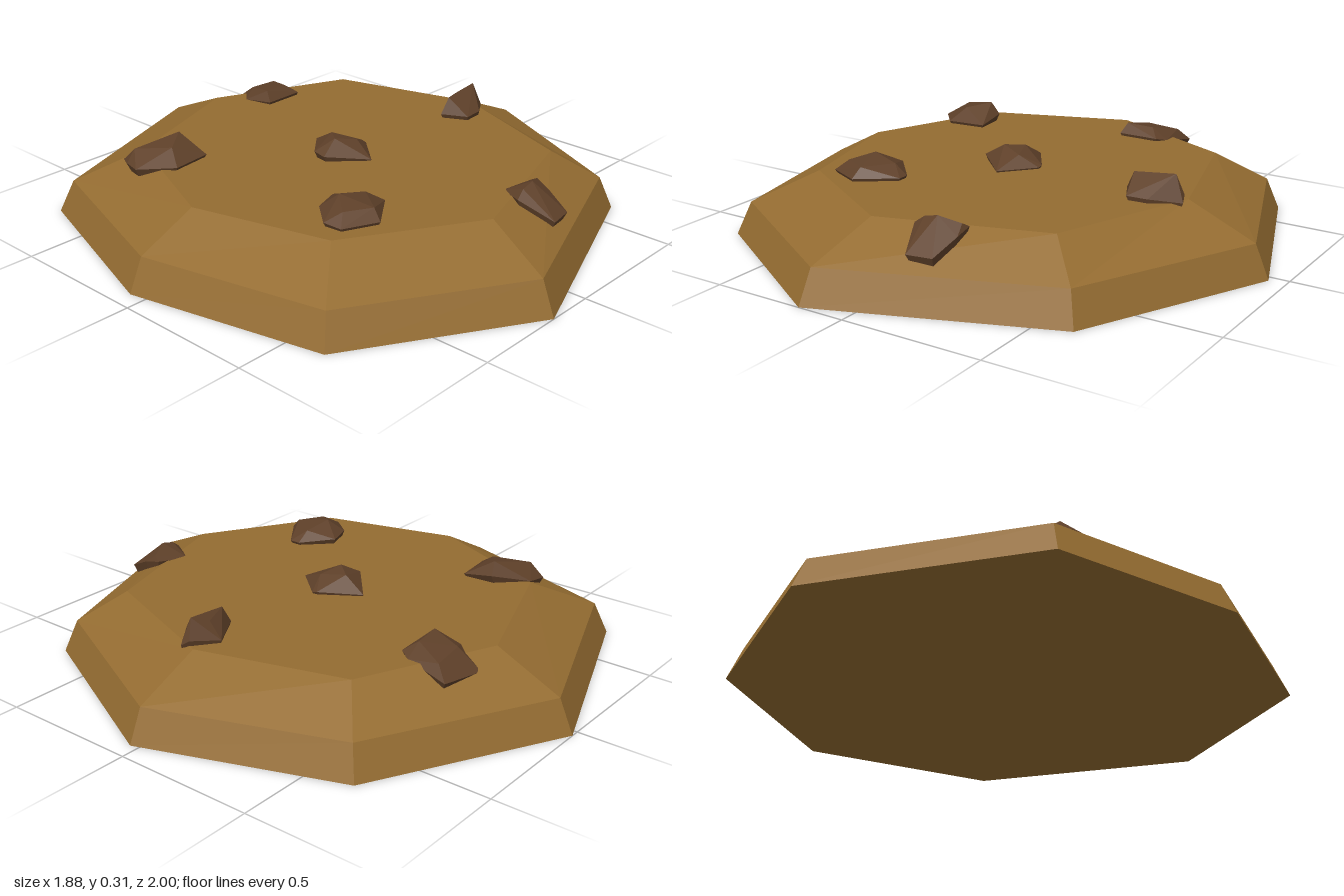
import * as THREE from 'three';
import { ConvexGeometry } from 'three/addons/geometries/ConvexGeometry.js';

// Eight-sided body built from horizontal loops of [x, z] corners, capped at both ends
function loftLoops(loops) {
  const pos = [];
  const n = loops[0].length;
  const tri = (...points) => points.forEach((p) => pos.push(...p));
  const last = loops.length - 1;
  const bottomCentre = [0, loops[0][0][1], 0];
  const topCentre = [0, loops[last][0][1], 0];
  for (let i = 0; i < n; i++) {
    const j = (i + 1) % n;
    for (let k = 0; k < last; k++) {
      const a = loops[k][i], b = loops[k][j], c = loops[k + 1][j], d = loops[k + 1][i];
      tri(b, a, d);
      tri(b, d, c);
    }
    tri(bottomCentre, loops[0][i], loops[0][j]);
    tri(topCentre, loops[last][j], loops[last][i]);
  }
  const geometry = new THREE.BufferGeometry();
  geometry.setAttribute('position', new THREE.Float32BufferAttribute(pos, 3));
  geometry.computeVertexNormals();
  return geometry;
}

// Faceted chip: widest outline [x, y, z], its crown points, and a narrower buried foot
function chipGeometry(outline, crown) {
  const centre = outline
    .reduce((sum, p) => sum.add(new THREE.Vector3(...p)), new THREE.Vector3())
    .divideScalar(outline.length);
  const points = [...outline, ...crown].map((p) => new THREE.Vector3(...p));
  for (const p of outline) {
    const foot = new THREE.Vector3(...p).lerp(centre, 0.25);
    foot.y -= 0.06;
    points.push(foot);
  }
  return new ConvexGeometry(points);
}

export function createModel() {
  const group = new THREE.Group();
  const dough = new THREE.MeshStandardMaterial({ color: 0x946c31, flatShading: true });
  dough.name = 'baked dough';
  const chocolate = new THREE.MeshStandardMaterial({ color: 0x5e4029, flatShading: true });
  chocolate.name = 'dark chocolate';

  // Cookie body: flared foot, bevelled shoulder and flat top
  const base = [
    [0.03, -1], [0.69, -0.65], [0.94, 0.03], [0.62, 0.7],
    [-0.17, 1], [-0.785, 0.63], [-0.94, -0.06], [-0.725, -0.715],
  ];
  const top = [
    [0.02, -0.705], [0.5, -0.49], [0.65, 0.03], [0.46, 0.535],
    [-0.11, 0.715], [-0.56, 0.445], [-0.69, -0.04], [-0.49, -0.52],
  ];
  const level = (loop, y, s = 1) => loop.map(([x, z]) => [x * s, y, z * s]);
  const cookie = new THREE.Mesh(
    loftLoops([level(base, 0), level(base, 0.115, 0.947), level(top, 0.22)]), dough);
  cookie.name = 'cookie';
  group.add(cookie);

  // Chocolate chips
  const chips = {
    backChip: {
      outline: [[0.14, 0.18, -0.725], [0.3, 0.19, -0.695], [0.28, 0.22, -0.54],
        [0.255, 0.23, -0.5], [0.105, 0.23, -0.5], [0.085, 0.22, -0.61]],
      crown: [[0.12, 0.265, -0.53], [0.22, 0.26, -0.54], [0.27, 0.235, -0.65], [0.15, 0.245, -0.64]],
    },
    leftBackChip: {
      outline: [[-0.58, 0.21, -0.52], [-0.5, 0.22, -0.515], [-0.39, 0.25, -0.42],
        [-0.39, 0.23, -0.305], [-0.535, 0.23, -0.29], [-0.625, 0.22, -0.4], [-0.61, 0.22, -0.465]],
      crown: [[-0.42, 0.295, -0.41], [-0.5, 0.275, -0.355], [-0.57, 0.26, -0.47]],
    },
    centreChip: {
      outline: [[-0.02, 0.225, -0.135], [0.07, 0.23, 0], [0.07, 0.225, 0.02],
        [-0.03, 0.225, 0.135], [-0.15, 0.24, 0.025], [-0.145, 0.245, -0.025]],
      crown: [[-0.08, 0.283, 0.01], [-0.03, 0.275, -0.05], [0.0, 0.265, 0.04]],
    },
    rightChip: {
      outline: [[0.56, 0.23, -0.01], [0.645, 0.24, 0.05], [0.655, 0.22, 0.08],
        [0.56, 0.235, 0.145], [0.485, 0.235, 0.15], [0.44, 0.235, 0.06]],
      crown: [[0.47, 0.295, 0.07], [0.62, 0.31, 0.065], [0.56, 0.285, 0.04]],
    },
    leftFrontChip: {
      outline: [[-0.345, 0.24, 0.25], [-0.25, 0.23, 0.35], [-0.25, 0.23, 0.39],
        [-0.38, 0.23, 0.485], [-0.5, 0.23, 0.43], [-0.51, 0.235, 0.365], [-0.44, 0.24, 0.28]],
      crown: [[-0.4, 0.285, 0.33], [-0.3, 0.265, 0.35], [-0.37, 0.265, 0.45], [-0.46, 0.265, 0.4]],
    },
    frontChip: {
      outline: [[0.095, 0.215, 0.6], [0.21, 0.225, 0.635], [0.21, 0.21, 0.7],
        [0.185, 0.165, 0.795], [0.095, 0.165, 0.81], [0.045, 0.225, 0.695]],
      crown: [[0.13, 0.262, 0.69], [0.2, 0.24, 0.66], [0.08, 0.25, 0.69]],
    },
  };
  for (const [name, { outline, crown }] of Object.entries(chips)) {
    const chip = new THREE.Mesh(chipGeometry(outline, crown), chocolate);
    chip.name = name;
    group.add(chip);
  }
  return group;
}
